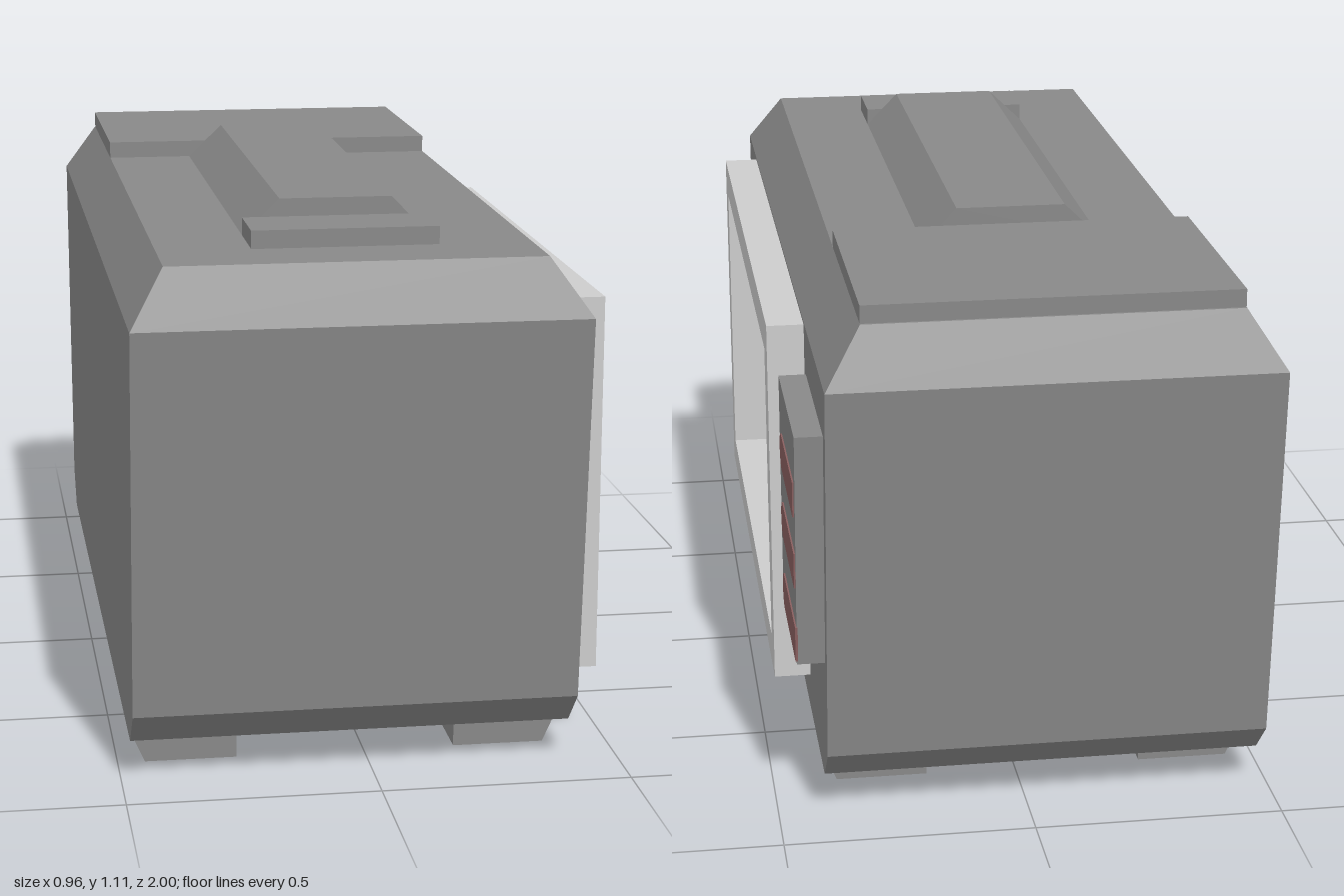
import * as THREE from 'three';

const casing = new THREE.MeshStandardMaterial({ color: 0x888888 });
casing.name = 'casingGrey';
const trim = new THREE.MeshStandardMaterial({ color: 0xcccccc });
trim.name = 'trimLightGrey';
const red = new THREE.MeshStandardMaterial({ color: 0x8a6060 });
red.name = 'buttonRed';

const LEFT = 0.405, RIGHT = -0.48;              // side walls
const MID = (LEFT + RIGHT) / 2;
const OPEN = { z0: -0.485, z1: 0.705, y0: 0.22, y1: 0.855 }; // door opening

const poly = (pts) => new THREE.Shape(pts.map(([a, b]) => new THREE.Vector2(a, b)));
const rect = (z0, z1, y0, y1) => [[-z1, y0], [-z0, y0], [-z0, y1], [-z1, y1]];

// Shapes for the side are drawn in (-z, y) and extruded along +x
function sideExtrude(shape, x0, x1) {
  return new THREE.ExtrudeGeometry(shape, { depth: x1 - x0, bevelEnabled: false, curveSegments: 6 })
    .rotateY(Math.PI / 2).translate(x0, 0, 0);
}

function box(x0, x1, y0, y1, z0, z1) {
  return new THREE.BoxGeometry(x1 - x0, y1 - y0, z1 - z0)
    .translate((x0 + x1) / 2, (y0 + y1) / 2, (z0 + z1) / 2);
}

// Rectangular rings stacked in y: [y, right, left, half depth]
function shellGeometry() {
  const rings = [
    [0.075, RIGHT, LEFT, 0.855],
    [0.15, RIGHT, LEFT, 0.93],
    [0.93, RIGHT, LEFT, 1.0],
    [1.04, -0.41, 0.33, 0.93],
  ].map(([y, a, b, d]) => [[a, y, d], [b, y, d], [b, y, -d], [a, y, -d]]);
  const pos = [];
  const quad = (a, b, c, d) => pos.push(...a, ...b, ...c, ...a, ...c, ...d);
  for (let r = 0; r < 3; r++) {
    for (let i = 0; i < 4; i++) {
      if (i === 1 && r < 2) continue;           // door wall is built separately
      const j = (i + 1) % 4;
      quad(rings[r][i], rings[r][j], rings[r + 1][j], rings[r + 1][i]);
    }
  }
  quad(...rings[3]);
  quad(...[...rings[0]].reverse());
  const g = new THREE.BufferGeometry();
  g.setAttribute('position', new THREE.Float32BufferAttribute(pos, 3));
  g.computeVertexNormals();
  return g;
}

export function createModel() {
  const model = new THREE.Group();
  model.name = 'microwaveOven';
  const add = (name, geometry, material = casing) => {
    const mesh = new THREE.Mesh(geometry, material);
    mesh.name = name;
    model.add(mesh);
    return mesh;
  };

  // Casing
  add('casingShell', shellGeometry());
  const wall = poly([[-0.855, 0.075], [0.855, 0.075], [0.93, 0.15], [1, 0.93], [-1, 0.93], [-0.93, 0.15]]);
  const opening = rect(OPEN.z0, OPEN.z1, OPEN.y0, OPEN.y1);
  wall.holes.push(poly(opening));
  add('doorWall', new THREE.ShapeGeometry(wall).rotateY(Math.PI / 2).translate(LEFT, 0, 0));

  // Cooking chamber: an inside-out box without its door side
  const chamber = box(-0.29, 0.33, OPEN.y0, OPEN.y1, OPEN.z0, OPEN.z1).toNonIndexed();
  const p = Array.from(chamber.attributes.position.array).slice(18);
  const inside = [];
  for (let i = 0; i < p.length; i += 9) {
    inside.push(...p.slice(i, i + 3), ...p.slice(i + 6, i + 9), ...p.slice(i + 3, i + 6));
  }
  const chamberGeo = new THREE.BufferGeometry();
  chamberGeo.setAttribute('position', new THREE.Float32BufferAttribute(inside, 3));
  chamberGeo.computeVertexNormals();
  add('cookingChamber', chamberGeo);

  // Door frame
  const frame = poly(rect(-0.557, 0.775, 0.155, 0.925));
  frame.holes.push(poly(opening));
  add('doorFrame', sideExtrude(frame, 0.33, 0.48), trim);

  // Control panel and its three buttons
  const panel = poly([[0.588, 0.345], [0.912, 0.345], [0.952, 0.83], [0.588, 0.83]]);
  add('controlPanel', sideExtrude(panel, LEFT - 0.01, 0.46));
  for (const y of [0.692, 0.545, 0.39]) {
    const r = 0.037, end = 0.922;
    const s = new THREE.Shape();
    s.moveTo(0.655, y - r);
    s.lineTo(end - 0.006, y - r);
    s.lineTo(end, y + r);
    s.lineTo(0.655, y + r);
    s.absarc(0.655, y, r, Math.PI / 2, Math.PI * 1.5, false);
    add('button', sideExtrude(s, 0.458, 0.463), red);
  }

  // Top plates and the carrying handle between them
  add('rearTopPlate', box(-0.41, 0.33, 1.03, 1.076, -0.925, -0.408));
  add('frontTopPlate', box(-0.225, 0.145, 1.03, 1.076, 0.63, 0.778));
  const handle = poly([[-0.225, 1.04], [0.145, 1.04], [0.075, 1.112], [-0.15, 1.112]]);
  add('handle', new THREE.ExtrudeGeometry(handle, { depth: 1.038, bevelEnabled: false }).translate(0, 0, -0.408));

  // Feet, sloped on their outer side
  for (const side of [1, -1]) {
    const pts = [[0.2225, 0], [0.4075, 0], [0.4425, 0.078], [0.2225, 0.078]]
      .map(([x, y]) => [MID + side * x, y]);
    for (const [name, z0, z1] of [['frontFoot', 0.632, 0.777], ['rearFoot', -0.737, -0.556]]) {
      add(name, new THREE.ExtrudeGeometry(poly(pts), { depth: z1 - z0, bevelEnabled: false }).translate(0, 0, z0));
    }
  }
  return model;
}
